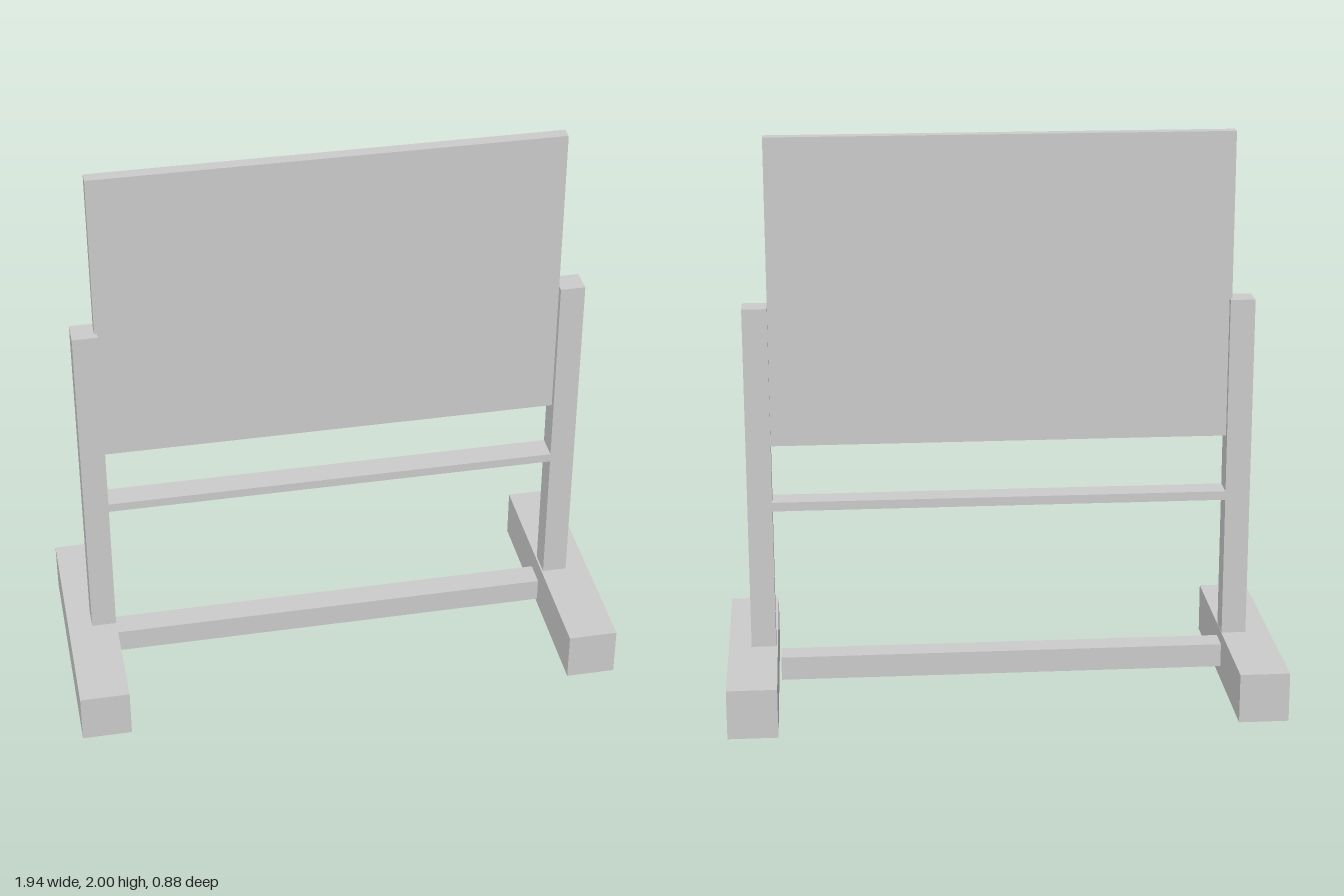
import * as THREE from 'three';

export function createModel() {
  const group = new THREE.Group();
  const material = new THREE.MeshStandardMaterial({ color: 0xcccccc, flatShading: true });

  // Box given by its x and y ranges and its depth, centred on z = 0
  const addBox = (name, x0, x1, y0, y1, depth) => {
    const mesh = new THREE.Mesh(new THREE.BoxGeometry(x1 - x0, y1 - y0, depth), material);
    mesh.position.set((x0 + x1) / 2, (y0 + y1) / 2, 0);
    mesh.name = name;
    group.add(mesh);
  };

  // Feet
  addBox('rightFoot', -0.974, -0.8, 0, 0.177, 0.882);
  addBox('leftFoot', 0.795, 0.969, 0, 0.177, 0.882);

  // Upright posts standing on the feet
  addBox('rightPost', -0.888, -0.801, 0.177, 1.413, 0.09);
  addBox('leftPost', 0.801, 0.888, 0.177, 1.413, 0.09);

  // Panel held between the posts
  addBox('board', -0.81, 0.801, 0.915, 2, 0.044);

  // Thin shelf below the panel and the beam between the feet
  addBox('shelf', -0.801, 0.801, 0.683, 0.715, 0.09);
  addBox('lowerBeam', -0.8, 0.784, 0.047, 0.132, 0.09);

  return group;
}
